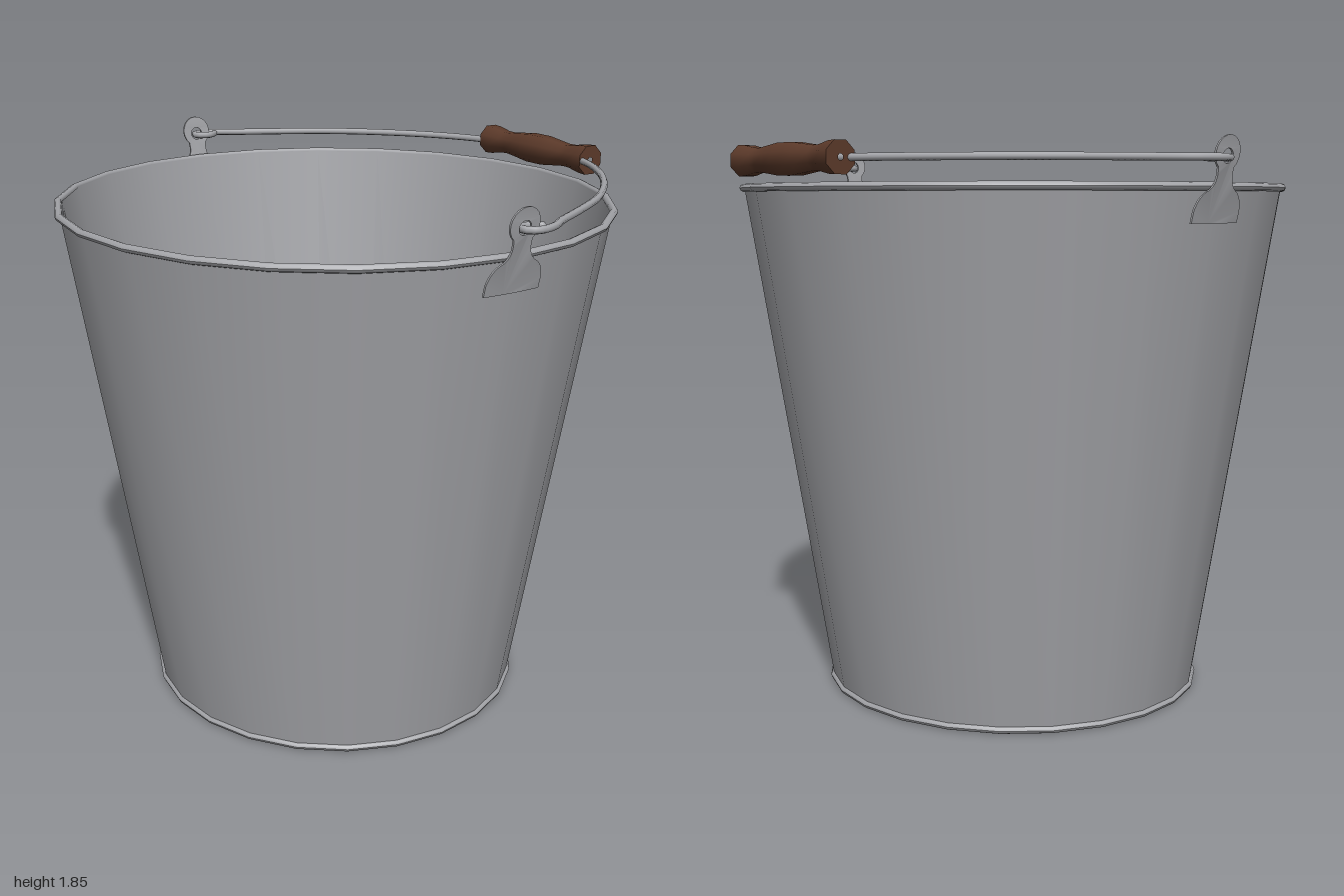
import * as THREE from 'three';
import { toCreasedNormals } from 'three/addons/utils/BufferGeometryUtils.js';

const SIDES = 24, CX = -0.013, WIRE_Y = 1.785, GRIP_X = 0.868;

const metal = new THREE.MeshStandardMaterial({ color: 0xa3a4a8 });
metal.name = 'galvanised metal';
const wood = new THREE.MeshStandardMaterial({ color: 0x5c3a2a });
wood.name = 'brown wood';

function add(parent, name, geometry, material) {
  const mesh = new THREE.Mesh(geometry, material);
  mesh.name = name;
  parent.add(mesh);
  return mesh;
}

function lathe(points, sides = SIDES) {
  return new THREE.LatheGeometry(points.map(([r, y]) => new THREE.Vector2(r, y)), sides);
}

// Rolled bead: a small round profile swept around the bucket
function bead(radius, y, size) {
  const points = [];
  for (let i = 0; i <= 8; i++) {
    const a = (i / 8) * Math.PI * 2;
    points.push([radius + Math.cos(a) * size, y + Math.sin(a) * size]);
  }
  return lathe(points);
}

// Handle ear: flared flap, narrow neck and round eye, bent to the wall
function earGeometry() {
  const s = new THREE.Shape();
  s.moveTo(-0.1, 1.595);
  for (let i = 1; i <= 6; i++) s.lineTo(-0.1 + i / 30, 1.595);
  s.lineTo(0.1, 1.63);
  s.quadraticCurveTo(0.092, 1.675, 0.058, 1.69);
  s.quadraticCurveTo(0.026, 1.71, 0.034, 1.757);
  s.absarc(0, 1.798, 0.053, -0.88, Math.PI + 0.88, false);
  s.quadraticCurveTo(-0.026, 1.71, -0.058, 1.69);
  s.quadraticCurveTo(-0.092, 1.675, -0.1, 1.63);
  s.closePath();
  const hole = new THREE.Path();
  hole.absarc(0, 1.79, 0.022, 0, Math.PI * 2, true);
  s.holes.push(hole);
  const geo = new THREE.ExtrudeGeometry(s, { depth: 0.007, bevelEnabled: false, curveSegments: 8 });
  const p = geo.attributes.position;
  for (let i = 0; i < p.count; i++) {
    const x = p.getX(i), y = p.getY(i);
    const lean = y > 1.7 ? 0.936 + (y - 1.7) * 0.17 : 0.936 - (1.7 - y) * 0.26;
    p.setZ(i, p.getZ(i) + lean - x * x * 0.55);
  }
  geo.computeVertexNormals();
  return toCreasedNormals(geo, 0.6);
}

export function createModel() {
  const model = new THREE.Group();
  model.name = 'bucket';

  // Slightly oval body
  const body = new THREE.Group();
  body.name = 'body';
  body.position.x = CX;
  body.scale.x = 0.973;
  model.add(body);
  add(body, 'outerWall', lathe([[0.648, 0.01], [0.918, 1.7]]), metal);
  add(body, 'innerWall', lathe([[0.908, 1.705], [0.643, 0.02]]), metal);
  add(body, 'rim', bead(0.922, 1.703, 0.013), metal);
  add(body, 'foot', bead(0.648, 0.012, 0.012), metal);
  const floor = add(body, 'floor', new THREE.CircleGeometry(0.648, SIDES), metal);
  floor.rotation.x = -Math.PI / 2;
  floor.position.y = 0.02;
  const underside = add(body, 'underside', new THREE.CircleGeometry(0.65, SIDES), metal);
  underside.rotation.x = Math.PI / 2;
  underside.position.y = 0.004;

  // Front and back ears
  const earGeo = earGeometry();
  for (const [name, turn] of [['frontEar', 0], ['backEar', Math.PI]]) {
    const ear = add(model, name, earGeo, metal);
    ear.position.x = CX;
    ear.rotation.y = turn;
  }

  // Wire handle lying level, hooked through both ears (x, z of one half)
  const half = [
    [0.06, 0.945], [0.035, 0.925], [0.004, 0.925], [-0.018, 0.95], [-0.003, 0.977], [0.035, 0.984],
    [0.09, 0.965], [0.15, 0.925], [0.27, 0.86], [0.45, 0.752], [0.61, 0.61], [0.74, 0.45],
    [0.825, 0.29], [0.86, 0.14],
  ];
  const path = [...half, [GRIP_X, 0], ...half.map(([x, z]) => [x, -z]).reverse()]
    .map(([x, z]) => new THREE.Vector3(x, WIRE_Y, z));
  add(model, 'wireHandle',
    new THREE.TubeGeometry(new THREE.CatmullRomCurve3(path), 160, 0.0115, 8), metal);
  for (const end of [path[0], path[path.length - 1]]) {
    add(model, 'wireEnd', new THREE.SphereGeometry(0.0115, 8, 6), metal).position.copy(end);
  }

  // Turned wooden grip with flat ends
  const grip = new THREE.Group();
  grip.name = 'grip';
  grip.position.set(GRIP_X, WIRE_Y, 0);
  grip.rotation.set(Math.PI / 2, 0, 0);
  model.add(grip);
  const profile = [
    [0.053, -0.27], [0.051, -0.235], [0.041, -0.18], [0.04, -0.15], [0.047, -0.09], [0.053, -0.04],
  ];
  const turned = [...profile, ...profile.map(([r, y]) => [r, -y]).reverse()];
  add(grip, 'gripBody', lathe(turned, 8).rotateY(Math.PI / 8), wood);
  for (const side of [1, -1]) {
    const cap = add(grip, 'gripEnd', new THREE.RingGeometry(0.01, 0.053, 8, 1, Math.PI / 8), wood);
    cap.position.y = 0.27 * side;
    cap.rotation.x = -side * Math.PI / 2;
  }
  return model;
}
